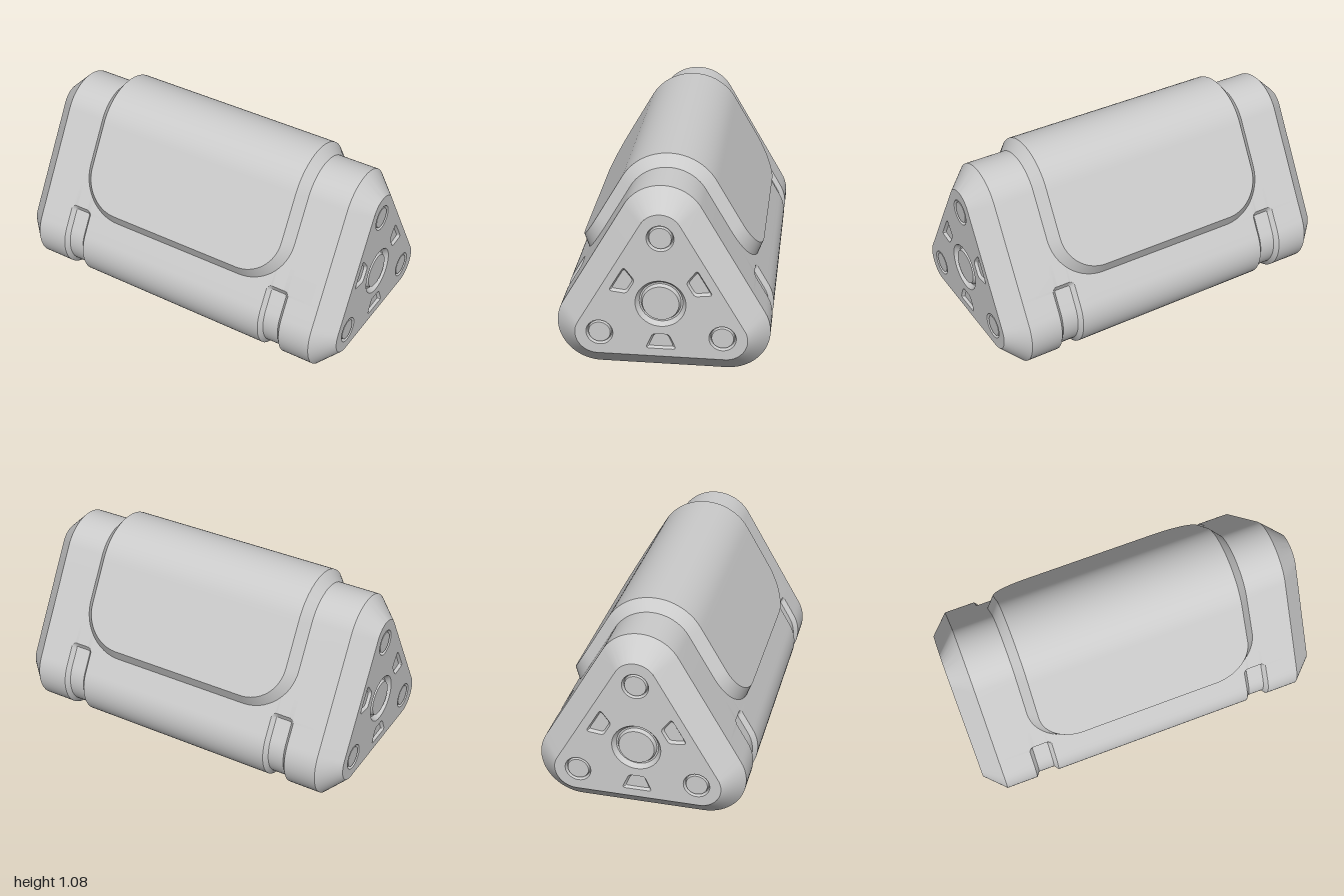
import * as THREE from 'three';
import { toCreasedNormals } from 'three/addons/utils/BufferGeometryUtils.js';

const material = new THREE.MeshStandardMaterial({ color: 0xcccccc });

// Rounded equilateral triangle section: half flat, corner radius, perimeter
const A = 0.33, R = 0.225, TURN = (2 * Math.PI) / 3;
const ARC = R * TURN, HALF = 3 * A + 1.5 * ARC;
const CENTRE = R + A / Math.sqrt(3);

// Point [z, y] at arc length s from the bottom middle, pushed out by h
function section(s, h) {
  if (s > HALF) s -= 2 * HALF;
  const side = Math.sign(s), d = Math.abs(s);
  let z, y;
  if (d < A) [z, y] = [d, -h];
  else if (d < A + ARC) {
    const t = (d - A) / R;
    [z, y] = [A + (R + h) * Math.sin(t), R - (R + h) * Math.cos(t)];
  } else {
    const run = Math.min(d - A - ARC, 2 * A);
    const t = TURN + (d - A - ARC - run) / R;
    z = A - run * 0.5 + (R + h) * Math.sin(t);
    y = R + run * Math.sqrt(0.75) - (R + h) * Math.cos(t);
  }
  return [side * z, y];
}
const onBody = (x, s, h) => {
  const [z, y] = section(s, h);
  return [x, y, z];
};

// Skin a list of equally long point rows
function skin(name, rows) {
  const n = rows[0].length, index = [];
  for (let i = 0; i < rows.length - 1; i++) {
    for (let j = 0; j < n - 1; j++) {
      const a = i * n + j, b = a + n;
      index.push(a, b, b + 1, a, b + 1, a + 1);
    }
  }
  const geo = new THREE.BufferGeometry();
  geo.setAttribute('position', new THREE.Float32BufferAttribute(rows.flat(2), 3));
  geo.setIndex(index);
  const mesh = new THREE.Mesh(toCreasedNormals(geo, 0.5), material);
  mesh.name = name;
  return mesh;
}

// Evenly spaced values through a list of [end, steps] spans, mirrored about 0
function mirroredStops(spans) {
  const half = [0];
  for (const [end, steps] of spans) {
    const from = half[half.length - 1];
    for (let i = 1; i <= steps; i++) half.push(from + ((end - from) * i) / steps);
  }
  return [...half.slice(1).reverse().map((v) => -v), ...half];
}

// Depth of a bevelled recess with a rounded rectangle outline
function recess(x, s, w, l, r, bevel, depth) {
  const qx = Math.abs(x) - w + r, qs = Math.abs(s) - l + r;
  const dist = Math.hypot(Math.max(qx, 0), Math.max(qs, 0)) + Math.min(Math.max(qx, qs), 0) - r;
  return depth * THREE.MathUtils.clamp(-dist / bevel, 0, 1);
}

// Main body with strap grooves and a bottom panel recess
function makeBody() {
  const xs = mirroredStops([[0.28, 2], [0.4, 12], [0.58, 2], [0.71, 26], [0.89, 1]]);
  const ss = mirroredStops([[0.15, 2], [0.23, 16], [A, 2], [A + ARC, 24], [0.9, 2],
    [0.942, 14], [A + ARC + 2 * A, 4], [HALF, 14]]);
  const rows = xs.map((x) => ss.map((s) => {
    const groove = recess(Math.abs(x) - 0.645, s, 0.065, 0.942, 0.03, 0.02, 0.025);
    const panel = recess(x, s, 0.38, 0.23, 0.08, 0.03, 0.03);
    return onBody(x, s, -groove - panel);
  }));
  // 45 degree chamfer at both ends
  rows.unshift(ss.map((s) => onBody(-1, s, -0.11)));
  rows.push(ss.map((s) => onBody(1, s, -0.11)));
  return skin('body', rows);
}

// Right half of a rounded rectangle outline, as [x, s] pairs
function halfOutline(w, l, r) {
  const pts = [];
  for (let i = 0; i <= 16; i++) {
    const t = (i / 16) * Math.PI / 2;
    pts.push([w - r + r * Math.sin(t), -l + r - r * Math.cos(t)]);
  }
  for (let i = 1; i < 48; i++) pts.push([w, (l - r) * (i / 24 - 1)]);
  return [...pts, ...pts.slice(0, 17).reverse().map(([x, s]) => [x, -s])];
}

// Raised saddle cover wrapped over the top edge
function makeCover() {
  const base = halfOutline(0.665, 0.766, 0.265), top = halfOutline(0.612, 0.718, 0.215);
  const line = (pts, side, h) => pts.map(([x, s]) => onBody(side * x, HALF + s, h));
  const rows = [-1, 1].map((side) => {
    const low = line(base, side, -0.003), high = line(top, side, 0.058);
    const first = low[0], last = low[low.length - 1];
    const pair = [[first, ...low, last], [first, ...high, last]];
    return side < 0 ? pair : pair.reverse();
  }).flat();
  return skin('saddleCover', rows);
}

// Closed 2D outlines for the end recesses
const circle = (r) => Array.from({ length: 48 }, (_, i) => {
  const t = (i / 48) * Math.PI * 2;
  return new THREE.Vector2(r * Math.cos(t), r * Math.sin(t));
});
function roundedPolygon(corners, r) {
  const v = corners.map(([x, y]) => new THREE.Vector2(x, y));
  return v.flatMap((p, i) => {
    const toward = (q) => p.clone().add(q.clone().sub(p).setLength(r));
    const before = toward(v[(i + v.length - 1) % v.length]);
    const after = toward(v[(i + 1) % v.length]);
    return new THREE.QuadraticBezierCurve(before, p, after).getPoints(4);
  });
}

// End face, built facing +z
function makeEnd(name) {
  const group = new THREE.Group();
  group.name = name;
  const outline = [];
  for (const s of mirroredStops([[A, 1], [A + ARC, 24], [A + ARC + 2 * A, 1], [HALF, 12]])) {
    outline.push(new THREE.Vector2(...section(s, -0.11)));
  }
  outline.pop();
  const face = new THREE.Shape(outline);

  // Profile steps run from the middle outwards as [scale, depth]
  const addRecess = (part, pts, x, y, profile) => {
    const loop = [...pts, pts[0]];
    face.holes.push(new THREE.Path(pts.map((p) => new THREE.Vector2(p.x + x, p.y + y))));
    const rows = profile.map(([k, d]) => loop.map((p) => [x + p.x * k, y + p.y * k, -d]));
    group.add(skin(part, rows));
  };

  addRecess('centreButton', circle(0.13), 0, CENTRE,
    [[0, 0.005], [0.72, 0.005], [0.79, 0.025], [0.86, 0.025], [1, 0]]);
  const slot = roundedPolygon([[-0.08, -0.043], [0.08, -0.043], [0.043, 0.043], [-0.043, 0.043]], 0.018);
  const middle = new THREE.Vector2();
  for (let i = 0; i < 3; i++) {
    const turn = i * TURN, up = turn + Math.PI / 2;
    addRecess('cornerBolt', circle(0.07), 0.366 * Math.cos(up), CENTRE + 0.366 * Math.sin(up),
      [[0, 0.003], [0.8, 0.003], [0.86, 0.018], [0.9, 0.018], [1, 0]]);
    addRecess('wedgeSlot', slot.map((p) => p.clone().rotateAround(middle, turn)),
      0.218 * Math.sin(turn), CENTRE - 0.218 * Math.cos(turn),
      [[0, 0.015], [0.8, 0.015], [1, 0]]);
  }
  const plate = new THREE.Mesh(new THREE.ShapeGeometry(face), material);
  plate.name = 'endFace';
  group.add(plate);
  return group;
}

export function createModel() {
  const model = new THREE.Group();
  model.name = 'triangularCase';
  model.add(makeBody(), makeCover());
  for (const side of [1, -1]) {
    const end = makeEnd(side > 0 ? 'leftEnd' : 'rightEnd');
    end.position.x = side;
    end.rotation.y = side * Math.PI / 2;
    model.add(end);
  }
  return model;
}
